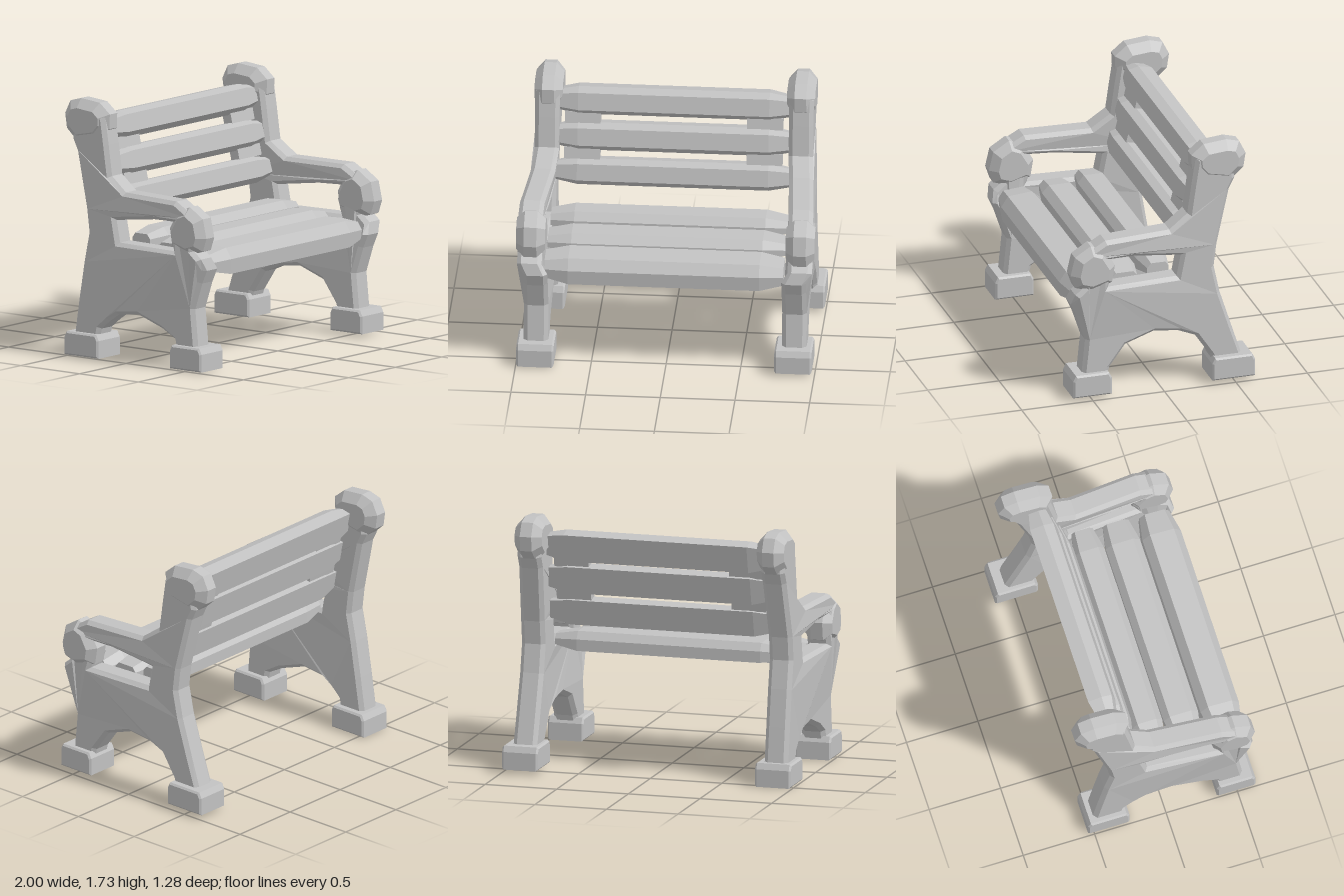
import * as THREE from 'three';

const paint = new THREE.MeshStandardMaterial({ color: 0xc2c2c2 });
paint.name = 'grey';

const toVectors = (pts) => pts.map(([z, y]) => new THREE.Vector2(z, y));

// Extrudes a (z, y) outline across x, chamfering its edges; centred on x = 0
function profile(pts, width, inset, depth, hole) {
  const shape = new THREE.Shape(toVectors(pts));
  if (hole) shape.holes.push(new THREE.Path(toVectors(hole)));
  const geo = new THREE.ExtrudeGeometry(shape, {
    depth: width - 2 * depth,
    bevelEnabled: true,
    bevelSegments: 1,
    bevelSize: inset,
    bevelOffset: -inset,
    bevelThickness: depth,
    steps: 1,
  });
  geo.translate(0, 0, -(width / 2 - depth));
  return geo.rotateY(-Math.PI / 2);
}

function part(group, name, geo, x = 0) {
  const mesh = new THREE.Mesh(geo, paint);
  mesh.name = name;
  mesh.position.x = x;
  group.add(mesh);
  return mesh;
}

// Moves every vertex by a rule
function bend(geo, rule) {
  const p = geo.attributes.position;
  const v = new THREE.Vector3();
  for (let i = 0; i < p.count; i++) {
    rule(v.fromBufferAttribute(p, i));
    p.setXYZ(i, v.x, v.y, v.z);
  }
  geo.computeVertexNormals();
  return geo;
}

// Legs, side panel, back post and armrest in one outline
const frameOutline = [
  [0.56, 0.12], [0.53, 0.42], [0.59, 0.6], [0.63, 0.69], [0.61, 0.77],
  [0.55, 0.82], [0.58, 0.95], [0.54, 1.06], [0.4, 1.14], [-0.06, 1.145],
  [-0.19, 1.24], [-0.22, 1.45], [-0.25, 1.64], [-0.5, 1.66], [-0.52, 1.46],
  [-0.48, 1.38], [-0.39, 1.0], [-0.37, 0.84], [-0.41, 0.65], [-0.49, 0.4],
  [-0.58, 0.12], [-0.37, 0.12], [-0.34, 0.2], [-0.24, 0.35], [-0.12, 0.4],
  [0.05, 0.42], [0.25, 0.35], [0.36, 0.2], [0.38, 0.12],
];
const armOpening = [
  [0.38, 0.8], [0.35, 0.9], [0.38, 1.0], [0.2, 0.995], [-0.14, 0.95], [-0.11, 0.8],
];
const knobOutline = [
  [-0.23, 1.55], [-0.225, 1.65], [-0.31, 1.72], [-0.47, 1.735], [-0.56, 1.71],
  [-0.605, 1.62], [-0.59, 1.52], [-0.49, 1.43], [-0.3, 1.47],
];
const scrollOutline = [
  [0.5, 0.785], [0.61, 0.82], [0.64, 0.91], [0.61, 1.04], [0.5, 1.11],
  [0.4, 1.07], [0.33, 0.95], [0.35, 0.83],
];

function foot(z0, z1, y0) {
  const top = y0 + 0.16;
  return profile([[z0, y0], [z1, y0], [z1, top - 0.04], [z1 - 0.02, top],
    [z0 + 0.02, top], [z0, top - 0.04]], 0.25, 0.012, 0.012);
}

function sideFrame(side) {
  const group = new THREE.Group();
  group.name = side > 0 ? 'leftFrame' : 'rightFrame';
  const lean = side > 0 ? 0 : 0.085; // the right rear leg stands further forward
  const inner = side > 0 ? 0.86 : 0.87;

  const body = bend(profile(frameOutline, 0.165, 0.025, 0.028, armOpening), (v) => {
    // armrest flares outward, the post leans slightly inward
    const flare = v.y > 0.75 && v.y < 1.2 ? 0.04 * Math.max(0, Math.min(1, v.z / 0.45)) : 0;
    const post = v.y > 1.2 ? -0.015 : 0;
    v.x += side * (inner + flare + post);
    if (v.y < 0.6) {
      const t = (0.6 - v.y) / 0.45;
      if (v.z < -0.2) v.z += lean * Math.min(1, t);
      // lower arch on the right frame
      if (side < 0 && v.y > 0.3 && v.y < 0.45 && Math.abs(v.z) < 0.3) v.y -= 0.09;
    }
  });
  part(group, 'legsPostAndArm', body);
  part(group, 'postKnob', profile(knobOutline, 0.19, 0.06, 0.055), side * (inner - 0.02));
  part(group, 'armScroll', profile(scrollOutline, 0.195, 0.05, 0.055), side * 0.902);

  const footX = side > 0 ? 0.857 : -0.87;
  part(group, 'frontFoot', foot(0.36, 0.63, side > 0 ? 0.025 : 0.008), footX);
  const back = side > 0 ? foot(-0.64, -0.34, 0.03) : foot(-0.54, -0.25, 0.003);
  part(group, 'backFoot', back, side > 0 ? 0.87 : -0.865);
  return group;
}

// Plank with a chamfered face and tapered ends; angle 0 faces up, -90 faces forward
function slat(z, y, width, thick, degrees) {
  const a = THREE.MathUtils.degToRad(degrees);
  const w = width / 2;
  const h = thick / 2;
  const pts = [[-w, -h], [w, -h], [w, h * 0.2], [w * 0.6, h], [-w * 0.65, h], [-w, h * 0.2]]
    .map(([u, v]) => [
      z + u * Math.cos(a) - v * Math.sin(a),
      y + u * Math.sin(a) + v * Math.cos(a),
    ]);
  return profile(pts, 1.6, 0.03, 0.16);
}

export function createModel() {
  const model = new THREE.Group();
  model.name = 'bench';
  model.add(sideFrame(1), sideFrame(-1));

  // Seat: three planks rising slightly toward the back
  [[0.485, 0.725, 0.27, 0.17, -5], [0.215, 0.78, 0.24, 0.13, 0], [-0.02, 0.82, 0.21, 0.13, 0]]
    .forEach((s) => part(model, 'seatSlat', slat(...s), -0.01));

  // Backrest: three planks leaning backward
  [[-0.21, 1.065, 0.18, 0.13, -77], [-0.27, 1.3, 0.19, 0.14, -77], [-0.335, 1.535, 0.19, 0.16, -77]]
    .forEach((s) => part(model, 'backSlat', slat(...s), -0.01));

  // Small blocks joining the back planks
  for (const x of [-0.62, 0.6]) {
    for (const [y, z] of [[1.185, -0.25], [1.42, -0.31]]) {
      const block = part(model, 'slatBracket', new THREE.BoxGeometry(0.24, 0.08, 0.07), x);
      block.position.set(x, y, z);
      block.rotation.x = -0.23;
    }
  }
  return model;
}
